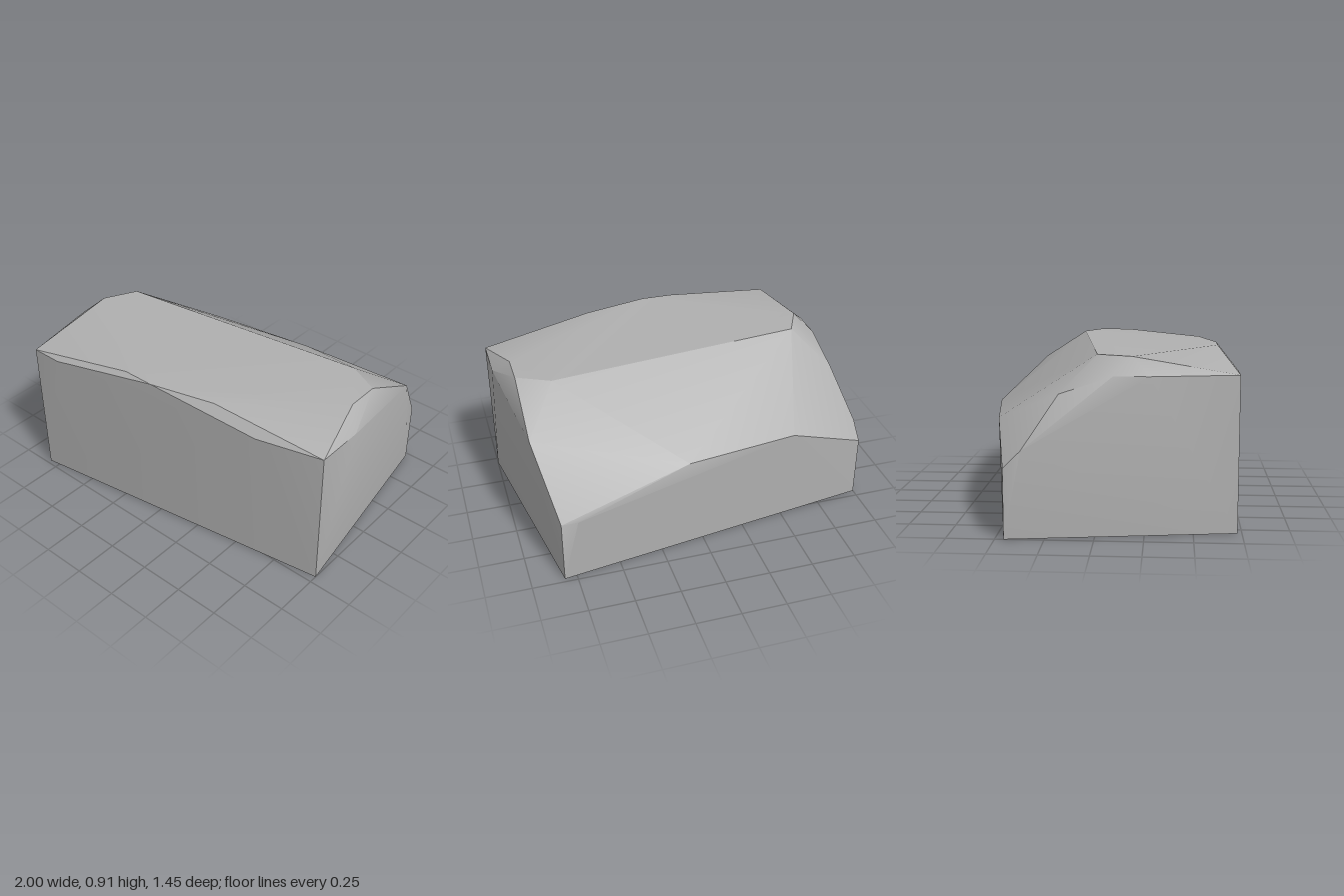
import * as THREE from 'three';
import { ConvexGeometry } from 'three/addons/geometries/ConvexGeometry.js';
import { toCreasedNormals } from 'three/addons/utils/BufferGeometryUtils.js';

const UNIT = 1 / 11; // all corners lie on a coarse grid

// corners of the stone, in grid units
const base = [[-9, 0, 8], [11, 0, 5], [9, 0, -8], [-11, 0, -5]];
const frontRim = [[-9, 9, 8], [-7, 9, 8], [0, 10, 7], [7, 9, 6], [11, 9, 5]];
const rightRim = [[11, 9, 2], [10, 10, 1], [10, 10, -1], [10, 8, -5]];
const backRim = [[9, 4, -8], [8, 4, -8], [1, 6, -7], [-6, 6, -6], [-11, 4, -5]];
const leftRim = [[-11, 5, -4], [-10, 8, -2], [-10, 9, 1], [-10, 9, 3]];
const flatTop = [[-2, 10, 7], [4, 10, 6], [8, 10, -2], [-8, 10, 0], [-9, 10, 2]];

export function createModel() {
  const group = new THREE.Group();
  group.name = 'stoneBlock';

  const stone = new THREE.MeshStandardMaterial({ color: 0xb0b0b0 });
  stone.name = 'grey stone';

  // faceted block: upright walls, flat top, worn slope down to the back
  const points = [base, frontRim, rightRim, backRim, leftRim, flatTop]
    .flat()
    .map(p => new THREE.Vector3(...p).multiplyScalar(UNIT));
  const geometry = toCreasedNormals(new ConvexGeometry(points), 0.5);

  const block = new THREE.Mesh(geometry, stone);
  block.name = 'block';
  group.add(block);
  return group;
}
